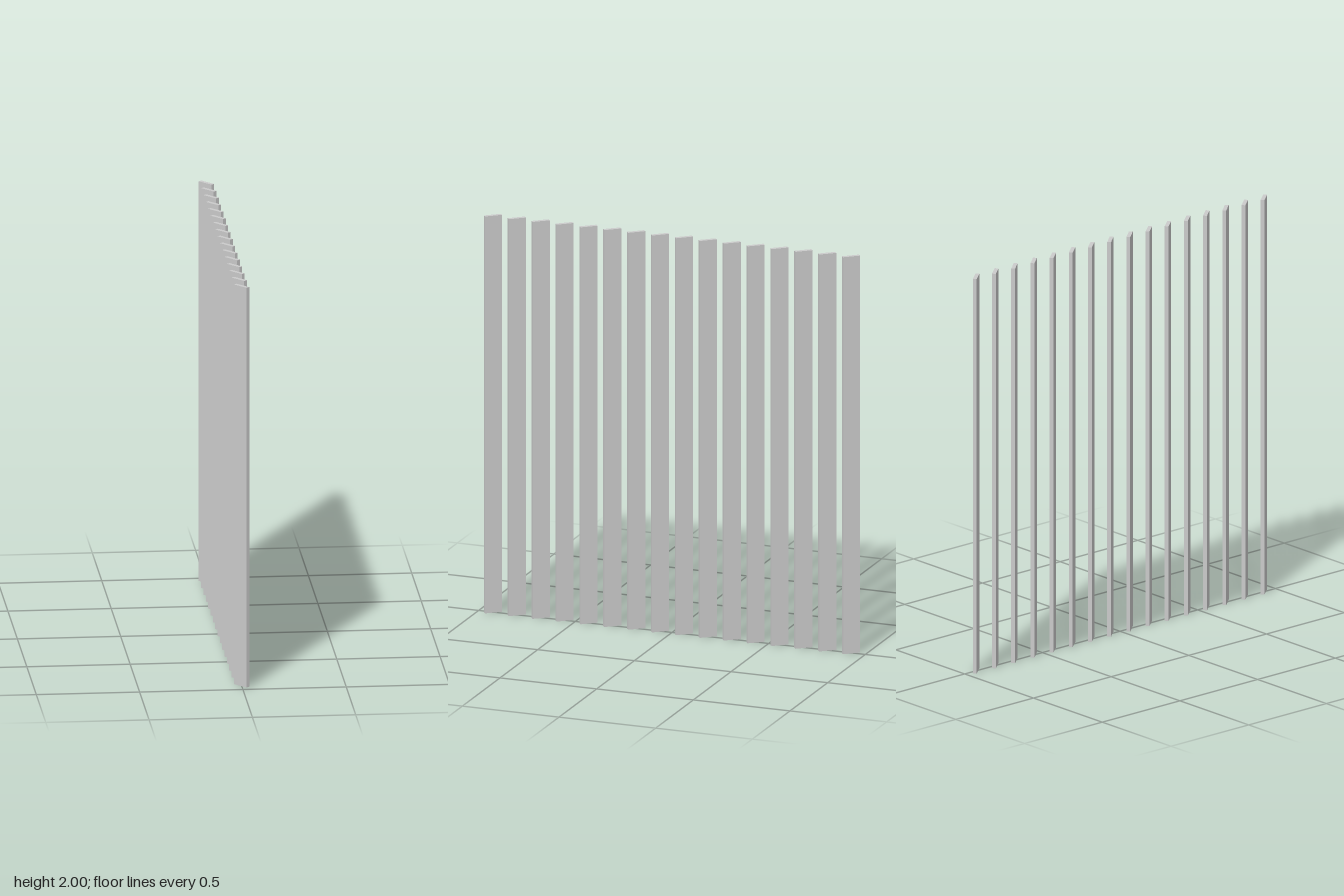
import * as THREE from 'three';

const COUNT = 16;
const PITCH = 0.1235;
const ANGLE = THREE.MathUtils.degToRad(40);

export function createModel() {
  const model = new THREE.Group();
  model.name = 'verticalLouvre';
  const material = new THREE.MeshStandardMaterial({ color: 0xcccccc, flatShading: true });

  // One slat: thin in x, full height, wide along z
  const slatGeometry = new THREE.BoxGeometry(0.019, 2, 0.086);

  // Row of slats along z, each turned by the same angle
  for (let i = 0; i < COUNT; i++) {
    const slat = new THREE.Mesh(slatGeometry, material);
    slat.name = `slat${i + 1}`;
    slat.position.set(0, 1, (i - (COUNT - 1) / 2) * PITCH);
    slat.rotation.y = ANGLE;
    model.add(slat);
  }
  return model;
}
